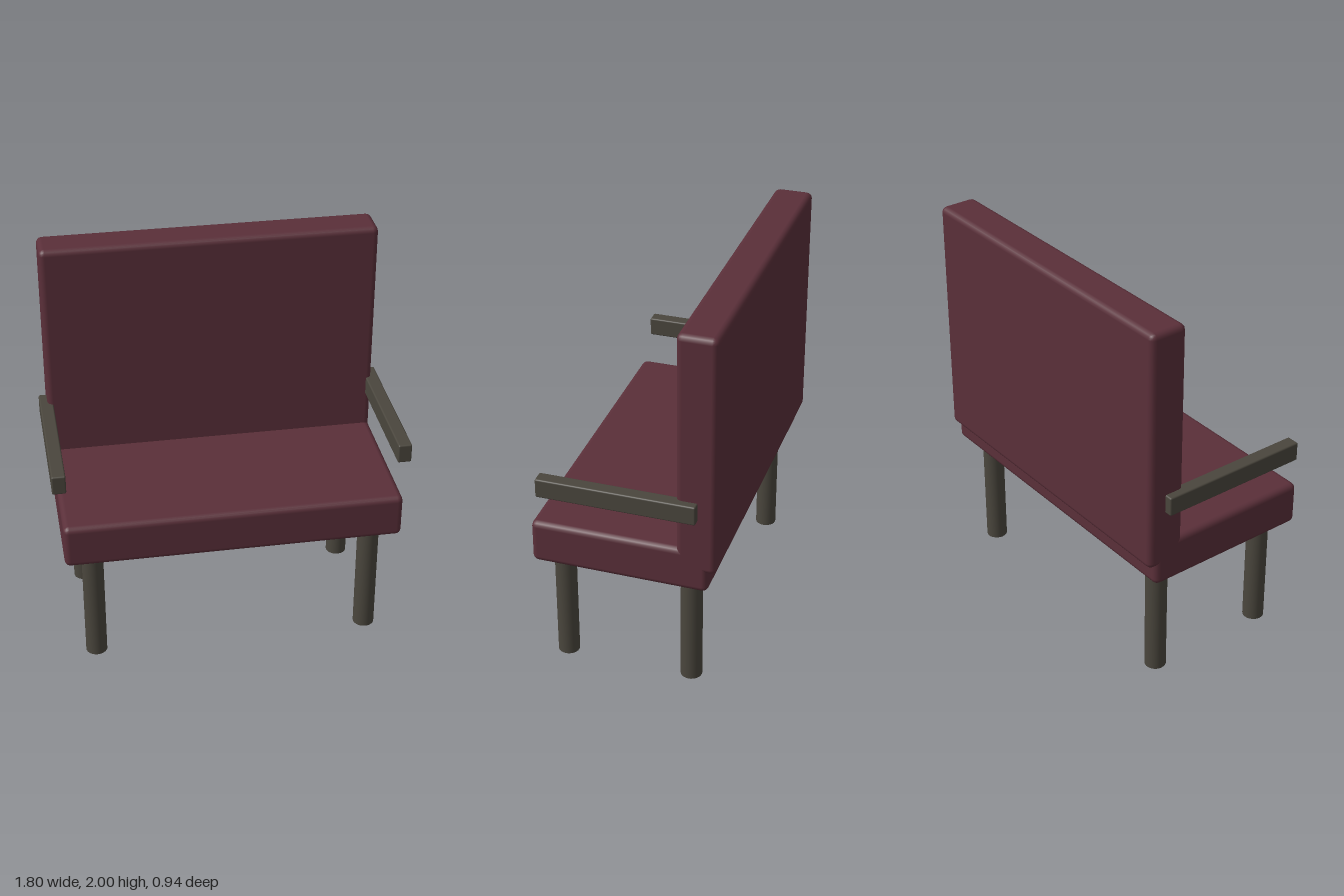
import * as THREE from 'three';
import { RoundedBoxGeometry } from 'three/addons/geometries/RoundedBoxGeometry.js';

export function createModel() {
  const model = new THREE.Group();
  model.name = 'bench';

  const upholstery = new THREE.MeshStandardMaterial({ color: 0x5a2f39 });
  upholstery.name = 'maroon upholstery';
  const frame = new THREE.MeshStandardMaterial({ color: 0x4a463d });
  frame.name = 'dark frame';

  const add = (name, geometry, material, x, y, z) => {
    const mesh = new THREE.Mesh(geometry, material);
    mesh.name = name;
    mesh.position.set(x, y, z);
    model.add(mesh);
  };

  // Rounded block given by its lower and upper corners
  const block = (name, material, radius, [x0, y0, z0], [x1, y1, z1]) => add(
    name, new RoundedBoxGeometry(x1 - x0, y1 - y0, z1 - z0, 2, radius), material,
    (x0 + x1) / 2, (y0 + y1) / 2, (z0 + z1) / 2);

  // Cushions: the backrest overhangs the rear of the seat
  block('seat', upholstery, 0.03, [-0.86, 0.62, -0.43], [0.86, 0.85, 0.47]);
  block('backrest', upholstery, 0.03, [-0.86, 0.73, -0.47], [0.86, 2, -0.27]);

  const legHeight = 0.64;
  const legGeometry = new THREE.CylinderGeometry(0.055, 0.055, legHeight, 24);
  for (const [side, s] of [['left', 1], ['right', -1]]) {
    // Armrest bars fixed to the sides of the backrest
    const inner = s * 0.83, outer = s * 0.9;
    block(`${side}Armrest`, frame, 0.008,
      [Math.min(inner, outer), 1.03, -0.38], [Math.max(inner, outer), 1.13, 0.42]);

    // Round legs, sunk slightly into the seat
    add(`${side}FrontLeg`, legGeometry, frame, s * 0.715, legHeight / 2, 0.35);
    add(`${side}BackLeg`, legGeometry, frame, s * 0.715, legHeight / 2, -0.31);
  }

  return model;
}
